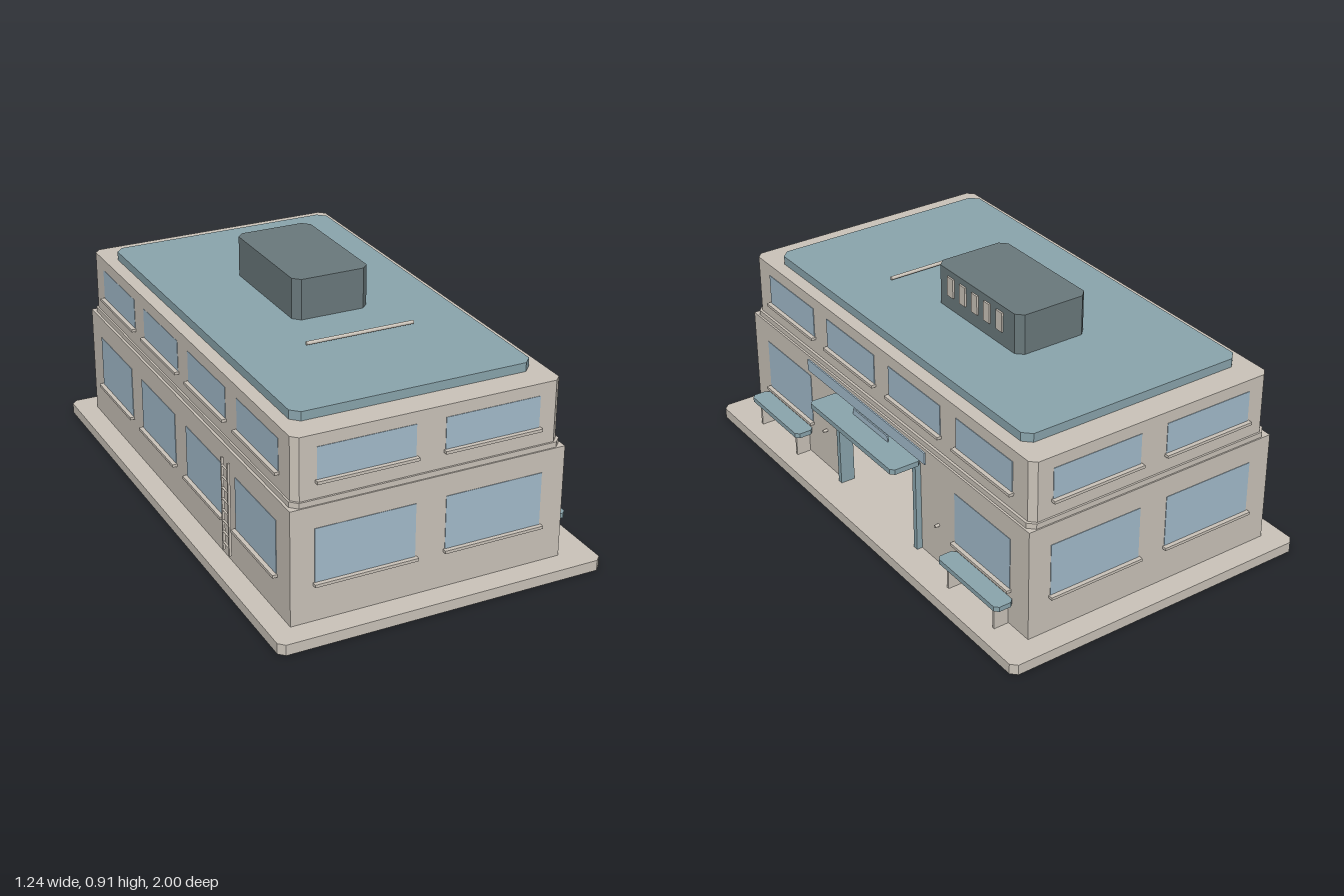
import * as THREE from 'three';

const mat = (name, color) => {
  const m = new THREE.MeshStandardMaterial({ color });
  m.name = name;
  return m;
};

export function createModel() {
  const model = new THREE.Group();
  model.name = 'building';
  const stone = mat('warm stone', 0xcbc4ba);
  const teal = mat('muted teal', 0x8aa5ad);
  const glass = mat('pale blue glass', 0xa4bccc);
  const slate = mat('dark slate', 0x6a797c);

  const add = (name, geo, material, parent = model) => {
    const mesh = new THREE.Mesh(geo, material);
    mesh.name = name;
    parent.add(mesh);
    return mesh;
  };

  // Box given by its extents on each axis
  const box = (name, m, x0, x1, y0, y1, z0, z1, parent) => {
    const mesh = add(name, new THREE.BoxGeometry(x1 - x0, y1 - y0, z1 - z0), m, parent);
    mesh.position.set((x0 + x1) / 2, (y0 + y1) / 2, (z0 + z1) / 2);
    return mesh;
  };

  // Slab whose vertical corners are chamfered by c
  const slab = (name, m, x0, x1, y0, y1, z0, z1, c) => {
    const outline = [
      [x0 + c, -z1], [x1 - c, -z1], [x1, -z1 + c], [x1, -z0 - c],
      [x1 - c, -z0], [x0 + c, -z0], [x0, -z0 - c], [x0, -z1 + c],
    ].map(([x, y]) => new THREE.Vector2(x, y));
    const geo = new THREE.ExtrudeGeometry(new THREE.Shape(outline), { depth: y1 - y0, bevelEnabled: false });
    geo.rotateX(-Math.PI / 2).translate(0, y0, 0);
    return add(name, geo, m);
  };

  // Thin round bar along x, y or z
  const bar = (name, m, axis, length, r, x, y, z) => {
    const geo = new THREE.CylinderGeometry(r, r, length, 10);
    if (axis === 'x') geo.rotateZ(Math.PI / 2);
    if (axis === 'z') geo.rotateX(Math.PI / 2);
    add(name, geo, m).position.set(x, y, z);
  };

  // Base and stacked storeys
  slab('base', stone, -0.62, 0.62, 0, 0.04, -1, 1, 0.022);
  slab('cornice', stone, -0.53, 0.487, 0.47, 0.49, -0.905, 0.905, 0.025);
  slab('upperStorey', stone, -0.523, 0.477, 0.49, 0.72, -0.898, 0.898, 0.023);
  slab('roof', teal, -0.473, 0.427, 0.72, 0.753, -0.795, 0.795, 0.03);
  slab('roofHouse', slate, -0.15, 0.147, 0.753, 0.907, -0.365, 0.14, 0.026);

  // Hollow ground floor with an open doorway on the entrance side
  for (const s of [-1, 1]) {
    box('endWall', stone, -0.54, 0.495, 0.04, 0.47, s > 0 ? 0.87 : -0.91, s > 0 ? 0.91 : -0.87);
    box('entranceWall', stone, 0.455, 0.495, 0.04, 0.47, s > 0 ? 0.27 : -0.87, s > 0 ? 0.87 : -0.27);
  }
  box('rearWall', stone, -0.54, -0.5, 0.04, 0.47, -0.87, 0.87);
  box('doorHeader', stone, 0.455, 0.495, 0.395, 0.47, -0.27, 0.27);

  // Windows with sills, laid out on each wall in a turned group
  const cx = -0.0225;
  const windows = (name, turn, dist, centres, width, y0, y1) => {
    const wall = new THREE.Group();
    wall.name = name;
    wall.position.x = cx;
    wall.rotation.y = turn;
    model.add(wall);
    for (const c of centres) {
      const h = width / 2;
      box('windowPane', glass, c - h, c + h, y0, y1, dist - 0.002, dist + 0.002, wall);
      box('windowSill', stone, c - h - 0.006, c + h + 0.006, y0 - 0.011, y0, dist - 0.005, dist + 0.018, wall);
    }
  };
  for (const turn of [0, Math.PI]) {
    windows('endWindowsLower', turn, 0.91, [-0.243, 0.243], 0.372, 0.187, 0.388);
    windows('endWindowsUpper', turn, 0.898, [-0.235, 0.235], 0.36, 0.558, 0.675);
  }
  for (const turn of [Math.PI / 2, -Math.PI / 2]) {
    const lower = turn > 0 ? [-0.644, 0.644] : [-0.644, -0.215, 0.215, 0.644];
    windows('sideWindowsLower', turn, 0.5175, lower, 0.325, 0.187, 0.388);
    windows('sideWindowsUpper', turn, 0.5, [-0.63, -0.21, 0.21, 0.63], 0.325, 0.558, 0.675);
  }

  // Entrance canopy, posts and header panels
  slab('canopy', teal, 0.497, 0.62, 0.397, 0.417, -0.281, 0.279, 0.014);
  box('canopyBeam', stone, 0.495, 0.535, 0.378, 0.397, -0.25, 0.25);
  bar('canopyLamp', stone, 'z', 0.46, 0.005, 0.56, 0.393, 0);
  box('longPanel', glass, 0.55, 0.556, 0.477, 0.523, -0.39, 0.39);
  box('smallPanel', glass, 0.527, 0.532, 0.417, 0.44, -0.115, 0.115);

  // Posts, benches and wall knobs, mirrored front to back
  for (const s of [-1, 1]) {
    box('doorPost', teal, 0.46, 0.517, 0.04, 0.397, s * 0.26 - 0.01, s * 0.26 + 0.01);
    const zc = s * 0.657;
    slab('benchSeat', teal, 0.497, 0.572, 0.135, 0.154, zc - 0.177, zc + 0.177, 0.014);
    for (const e of [-1, 1]) {
      const z = zc + e * 0.136;
      box('benchLeg', stone, 0.497, 0.554, 0.04, 0.135, z - 0.005, z + 0.005);
    }
    bar('wallKnob', stone, 'x', 0.018, 0.006, 0.503, 0.2, s * 0.38);
  }

  // Vent slats on the roof house and the rail on the roof
  for (let i = 0; i < 5; i++) {
    const z = 0.045 - i * 0.075;
    box('vent', stone, 0.145, 0.154, 0.808, 0.883, z - 0.018, z + 0.018);
  }
  bar('roofRail', stone, 'x', 0.417, 0.007, -0.002, 0.767, 0.356);

  // Ladder on the rear wall
  for (const z of [0.418, 0.47]) box('ladderRail', stone, -0.564, -0.555, 0.08, 0.44, z - 0.004, z + 0.004);
  for (let i = 0; i < 8; i++) bar('ladderRung', stone, 'z', 0.05, 0.004, -0.56, 0.11 + i * 0.043, 0.444);

  return model;
}
